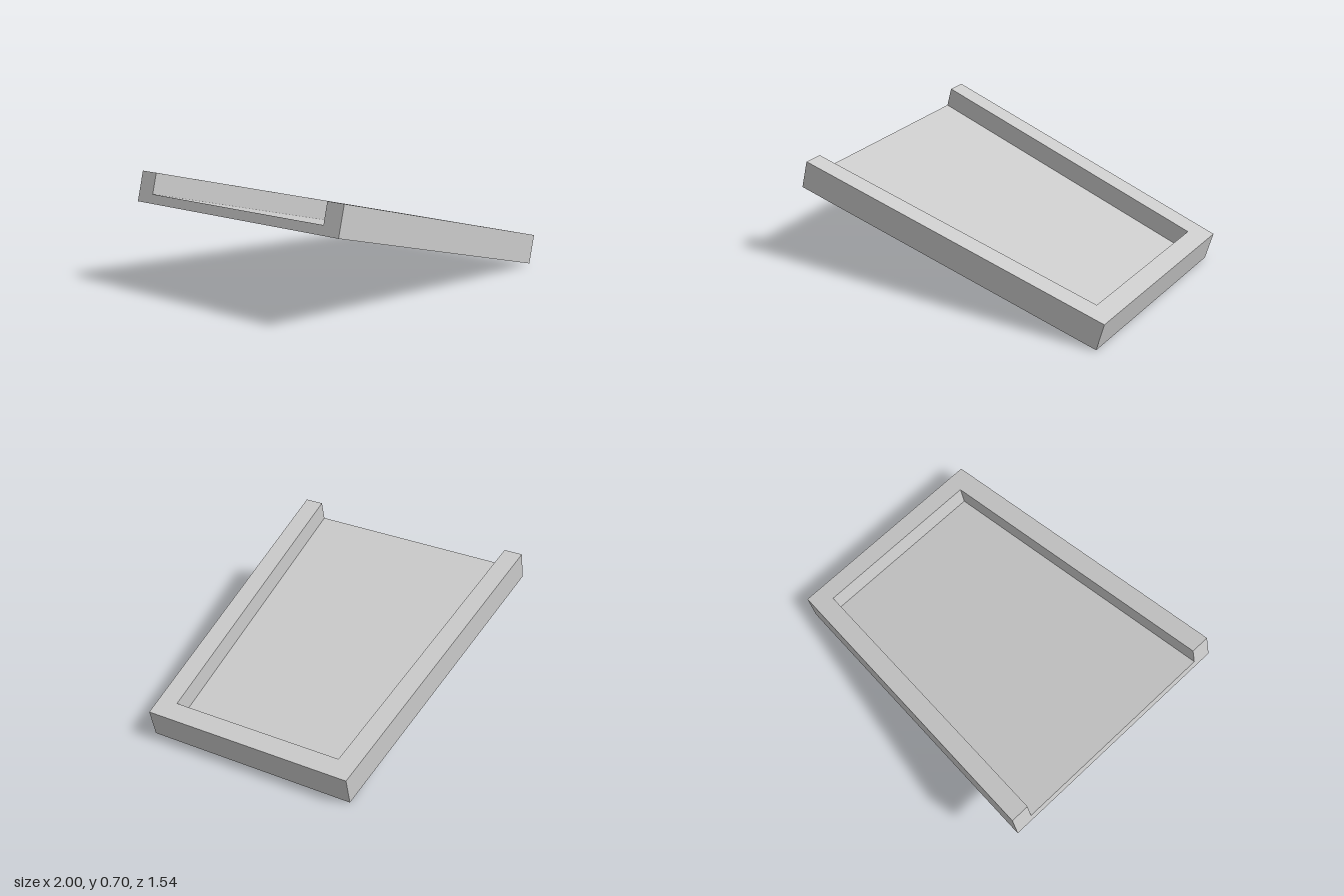
import * as THREE from 'three';

// Tray dimensions in its own flat frame: x along the slope, y up, z across
const LENGTH = 2.021, HEIGHT = 0.18, FLOOR = 0.055, RIM = 0.12;
const TILT = 0.258, ROLL = -0.004;

// Plan corners [x, half width]: outer and inner outlines taper towards the closed end
const OUT0 = [0, 0.771], OUT1 = [LENGTH, 0.65];
const IN0 = [0, 0.656], IN1 = [LENGTH - RIM, 0.536];

const pt = ([x, z], y, side = 1) => [x, y, z * side];

// Mesh with flat faces from four-cornered loops
function quadMesh(name, quads, material) {
  const pos = quads.flatMap(([a, b, c, d]) => [a, b, c, a, c, d].flat());
  const geo = new THREE.BufferGeometry();
  geo.setAttribute('position', new THREE.Float32BufferAttribute(pos, 3));
  geo.computeVertexNormals();
  const mesh = new THREE.Mesh(geo, material);
  mesh.name = name;
  return mesh;
}

// Level face spanning both sides between two plan corners
const level = (a, b, y) => [pt(a, y), pt(b, y), pt(b, y, -1), pt(a, y, -1)];
// Upright face across the tray, facing +x
const across = (a, y0, y1) => [pt(a, y0), pt(a, y0, -1), pt(a, y1, -1), pt(a, y1)];
const flip = (q) => [...q].reverse();

export function createModel() {
  const model = new THREE.Group();
  model.name = 'slopingTray';
  const material = new THREE.MeshStandardMaterial({ color: 0xcccccc });

  const tray = new THREE.Group();
  tray.name = 'tray';
  tray.position.set(-1, 0.52, 0);
  tray.rotation.z = -TILT;

  // Floor plate: underside, inside face and the open edge
  tray.add(quadMesh('floor', [
    flip(level(OUT0, OUT1, 0)),
    level(IN0, IN1, FLOOR),
    flip(across(IN0, 0, FLOOR)),
  ], material));

  // Side rails, mirrored: outer wall, top, inner wall, end cap
  for (const side of [1, -1]) {
    const p = (c, y) => pt(c, y, side);
    const quads = [
      [p(OUT0, 0), p(OUT1, 0), p(OUT1, HEIGHT), p(OUT0, HEIGHT)],
      [p(OUT0, HEIGHT), p(OUT1, HEIGHT), p(IN1, HEIGHT), p(IN0, HEIGHT)],
      [p(IN1, FLOOR), p(IN0, FLOOR), p(IN0, HEIGHT), p(IN1, HEIGHT)],
      [p(IN0, 0), p(OUT0, 0), p(OUT0, HEIGHT), p(IN0, HEIGHT)],
    ];
    tray.add(quadMesh(side > 0 ? 'frontRail' : 'backRail',
      side > 0 ? quads : quads.map(flip), material));
  }

  // End rail closing the low end: outer wall, inner wall, top
  tray.add(quadMesh('endRail', [
    across(OUT1, 0, HEIGHT),
    flip(across(IN1, FLOOR, HEIGHT)),
    level(IN1, OUT1, HEIGHT),
  ], material));

  model.add(tray);
  model.rotation.x = ROLL;
  const root = new THREE.Group();
  root.add(model);
  return root;
}
